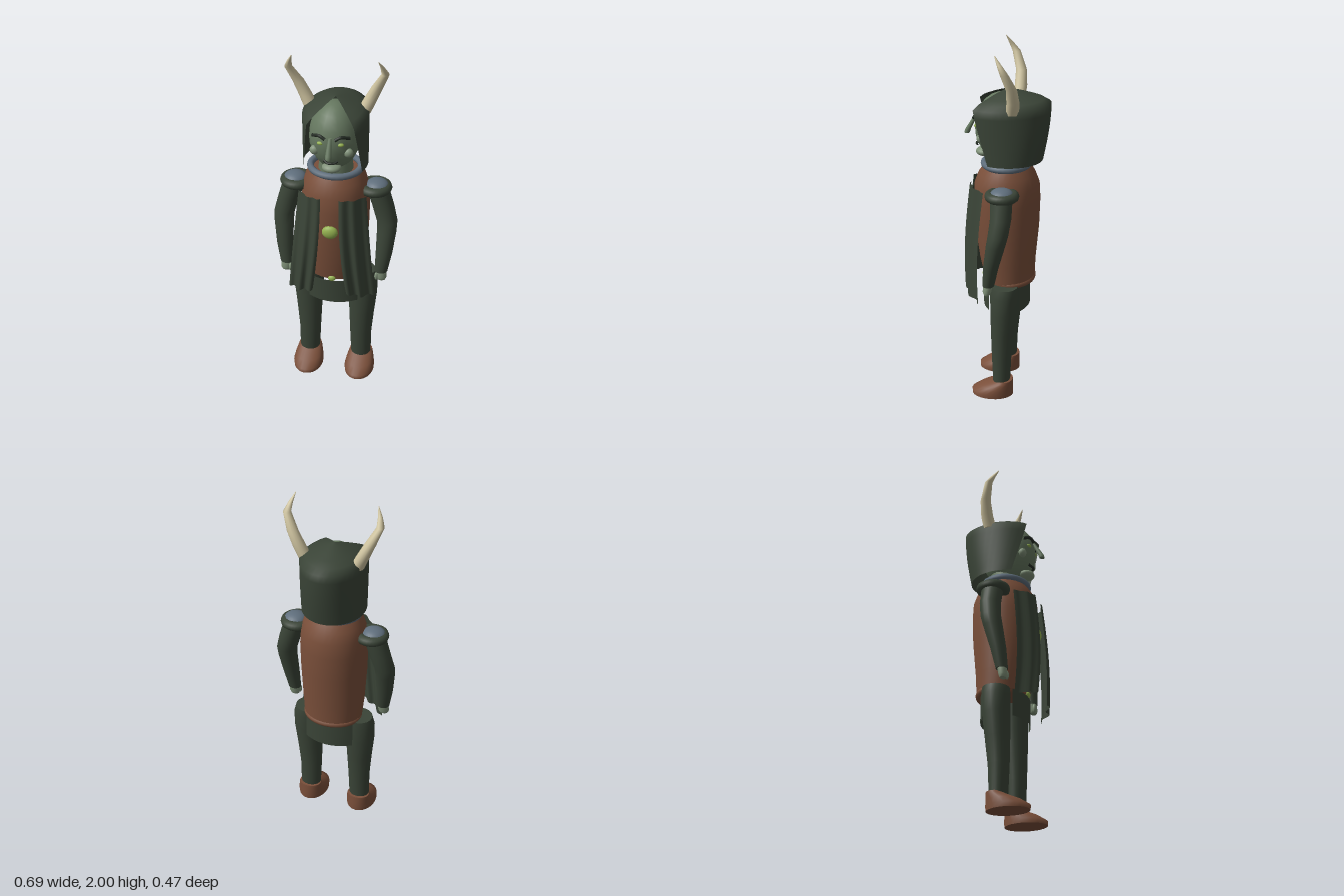
import * as THREE from 'three';

const mat = (name, color, side = THREE.FrontSide) => {
  const m = new THREE.MeshStandardMaterial({ color, side });
  m.name = name;
  return m;
};

// Stack of horizontal ellipses [x, y, z, rx, rz], listed from bottom to top, with flat caps
function loft(rings, n = 20) {
  const pos = [], idx = [];
  const addRing = ([x, y, z, rx, rz]) => {
    for (let j = 0; j < n; j++) {
      const a = (j / n) * Math.PI * 2;
      pos.push(x + rx * Math.cos(a), y, z + rz * Math.sin(a));
    }
  };
  rings.forEach(addRing);
  for (let i = 0; i < rings.length - 1; i++) {
    for (let j = 0; j < n; j++) {
      const k = (j + 1) % n, a = i * n + j, b = i * n + k;
      idx.push(a, a + n, b, b, a + n, b + n);
    }
  }
  for (const top of [false, true]) {
    const r = top ? rings[rings.length - 1] : rings[0];
    const s = pos.length / 3;
    addRing(r);
    pos.push(r[0], r[1], r[2]);
    for (let j = 0; j < n; j++) {
      const k = (j + 1) % n;
      idx.push(s + n, s + (top ? k : j), s + (top ? j : k));
    }
  }
  return build(pos, idx);
}

// Open surface from a rule (u, v) -> [x, y, z]
function sheet(nu, nv, rule) {
  const pos = [], idx = [];
  for (let i = 0; i <= nv; i++) for (let j = 0; j <= nu; j++) pos.push(...rule(j / nu, i / nv));
  for (let i = 0; i < nv; i++) {
    for (let j = 0; j < nu; j++) {
      const a = i * (nu + 1) + j, c = a + nu + 1;
      idx.push(a, a + 1, c, a + 1, c + 1, c);
    }
  }
  return build(pos, idx);
}

function build(pos, idx) {
  const g = new THREE.BufferGeometry();
  g.setAttribute('position', new THREE.Float32BufferAttribute(pos, 3));
  g.setIndex(idx);
  g.computeVertexNormals();
  return g;
}

export function createModel() {
  const cloth = mat('dark green cloth', 0x3a4437);
  const clothSheet = mat('dark green open cloth', 0x3a4437, THREE.DoubleSide);
  const leather = mat('brown leather', 0x7a4f3a);
  const skin = mat('grey green skin', 0x65775f);
  const paleSkin = mat('pale skin', 0x7f9078);
  const metal = mat('blue grey metal', 0x5f6e7c);
  const horn = mat('bone', 0xcfc4a0);
  const gem = mat('yellow green', 0x93b04f);
  const dark = mat('dark hair', 0x252d25);

  const model = new THREE.Group();
  const add = (name, geo, material) => {
    const m = new THREE.Mesh(geo, material);
    m.name = name;
    model.add(m);
    return m;
  };
  const ball = (name, p, r, material) => {
    const m = add(name, new THREE.SphereGeometry(1, 20, 14), material);
    m.position.set(...p);
    m.scale.set(...r);
    return m;
  };
  const tube = (name, pts, r, material) =>
    add(name, new THREE.TubeGeometry(new THREE.CatmullRomCurve3(pts.map(p => new THREE.Vector3(...p))), 10, r, 8), material);
  const ring = (name, p, R, r, material) => {
    const m = add(name, new THREE.TorusGeometry(R, r, 10, 32).rotateX(Math.PI / 2), material);
    m.position.set(...p);
    return m;
  };

  // Torso, belt, neck and collar
  add('torso', loft([
    [0, 0.68, -0.015, 0.165, 0.14], [0, 0.8, -0.005, 0.175, 0.155], [0, 1.0, 0, 0.185, 0.178],
    [0, 1.15, 0, 0.188, 0.183], [0, 1.24, 0, 0.182, 0.178], [0, 1.3, 0, 0.165, 0.155], [0, 1.345, 0, 0.14, 0.125],
  ], 32), leather);
  ring('belt', [0, 0.685, -0.022], 0.14, 0.02, leather).scale.set(1.05, 1, 0.87);
  ball('beltGem', [0, 0.685, 0.125], [0.022, 0.018, 0.015], gem);
  ball('chestGem', [0, 1.035, 0.18], [0.044, 0.04, 0.025], gem);
  add('neck', loft([[0, 1.3, 0, 0.1, 0.095], [0, 1.44, 0, 0.085, 0.085]]), skin);
  ring('collar', [0, 1.355, 0.003], 0.137, 0.019, metal).scale.z = 0.9;

  // Loincloth panels, front and back
  for (const f of [1, -1]) {
    add(f > 0 ? 'frontLoincloth' : 'backLoincloth', sheet(10, 1, (u, v) => {
      const a = (u - 0.5) * 1.24;
      return [0.24 * Math.sin(a), 0.52 + v * 0.15, f * (0.24 * Math.cos(a) - 0.11)];
    }), clothSheet);
  }

  // Head and face
  ball('head', [0, 1.56, 0.02], [0.138, 0.19, 0.155], skin);
  ball('chin', [0, 1.415, 0.125], [0.052, 0.026, 0.045], paleSkin);
  add('nose', loft([[0, 1.515, 0.218, 0.016, 0.015], [0, 1.535, 0.212, 0.017, 0.016], [0, 1.615, 0.168, 0.009, 0.01]], 10), skin);
  tube('mouth', [[-0.036, 1.468, 0.148], [-0.014, 1.458, 0.162], [0, 1.461, 0.164], [0.014, 1.458, 0.162], [0.036, 1.468, 0.148]], 0.007, dark);

  // Hood: horseshoe rows up to the rim, then closing to a peak above the brow
  add('hood', sheet(28, 12, (u, v) => {
    const t = Math.min(v / 0.6, 1), s = 1 - Math.max(0, (v - 0.6) / 0.4);
    const open = THREE.MathUtils.degToRad(116 + 19 * t);
    const a = (u * 2 - 1) * open;
    const rz = 0.195 + 0.042 * Math.sin(t * Math.PI / 2) - (t === 1 && s === 1 ? 0.005 : 0);
    const y = t < 1 ? 1.38 + 0.315 * t : 1.695 + 0.075 * (1 - Math.pow(s, 1.25));
    const drop = 0.012 * Math.cos(a) * t * s;
    return [0.174 * s * Math.sin(a), y + drop, -rz * s * Math.cos(a)];
  }), clothSheet);

  for (const s of [1, -1]) {
    const side = s > 0 ? 'left' : 'right';

    // Face details
    tube(side + 'Brow', [[s * 0.026, 1.607, 0.176], [s * 0.055, 1.622, 0.168], [s * 0.098, 1.606, 0.136]], 0.009, dark);
    ball(side + 'Eye', [s * 0.053, 1.574, 0.158], [0.018, 0.01, 0.012], gem);
    ball(side + 'Cheek', [s * 0.09, 1.515, 0.13], [0.026, 0.026, 0.022], paleSkin);

    // Horn
    add(side + 'Horn', loft([
      [s * 0.14, 1.67, -0.045, 0.038, 0.036], [s * 0.172, 1.74, -0.053, 0.036, 0.034],
      [s * 0.21, 1.82, -0.05, 0.031, 0.029], [s * 0.253, 1.91, -0.018, 0.021, 0.022],
      [s * 0.242, 1.955, 0.008, 0.012, 0.013], [s * 0.224, 2.0, 0.034, 0.002, 0.002],
    ], 14), horn);

    // Arm, hand and thumb
    add(side + 'Arm', loft([
      [s * 0.268, 0.735, 0.068, 0.036, 0.032], [s * 0.28, 0.85, 0.052, 0.046, 0.042],
      [s * 0.288, 0.98, 0.025, 0.054, 0.052], [s * 0.287, 1.04, 0.012, 0.057, 0.055],
      [s * 0.262, 1.13, 0.0, 0.06, 0.057], [s * 0.225, 1.25, 0, 0.062, 0.06],
    ]), cloth);
    add(side + 'Hand', loft([
      [s * 0.27, 0.682, 0.075, 0.024, 0.017], [s * 0.27, 0.7, 0.075, 0.032, 0.024],
      [s * 0.268, 0.745, 0.068, 0.03, 0.026],
    ], 12), paleSkin);
    ball(side + 'Thumb', [s * 0.245, 0.705, 0.088], [0.011, 0.025, 0.011], paleSkin);

    // Shoulder guard
    ring(side + 'ShoulderPad', [s * 0.215, 1.24, 0], 0.066, 0.027, cloth);
    ball(side + 'ShoulderPlate', [s * 0.226, 1.25, 0], [0.064, 0.037, 0.064], metal);

    // Hanging cape panel with soft folds
    add(side + 'CapePanel', sheet(18, 12, (u, v) => {
      const x = THREE.MathUtils.lerp(0.05 + 0.045 * v * v, 0.185 + 0.06 * v, u);
      const y = 1.25 - v * (0.6 + 0.035 * u) - 0.012 * u;
      const z = 0.19 + 0.025 * Math.sin(v * Math.PI * 0.8) - 0.09 * Math.pow(u, 2.2)
        + (0.006 + 0.008 * v) * Math.sin(u * Math.PI * 4.5);
      return [s * x, y, z];
    }), clothSheet);

    // Leg and shoe
    add(side + 'Leg', loft([
      [s * 0.153, 0.07, 0.012, 0.058, 0.048], [s * 0.15, 0.25, 0.012, 0.063, 0.056],
      [s * 0.153, 0.4, 0.006, 0.073, 0.066], [s * 0.157, 0.53, 0, 0.083, 0.074],
      [s * 0.155, 0.63, -0.003, 0.086, 0.078], [s * 0.148, 0.68, -0.005, 0.08, 0.074],
    ]), cloth);
    add(side + 'Shoe', loft([
      [s * 0.153, 0, 0.063, 0.085, 0.117], [s * 0.153, 0.025, 0.063, 0.087, 0.118],
      [s * 0.153, 0.055, 0.04, 0.08, 0.094], [s * 0.153, 0.085, 0.005, 0.069, 0.058],
      [s * 0.153, 0.098, -0.002, 0.064, 0.05],
    ], 24), leather);
  }
  return model;
}
